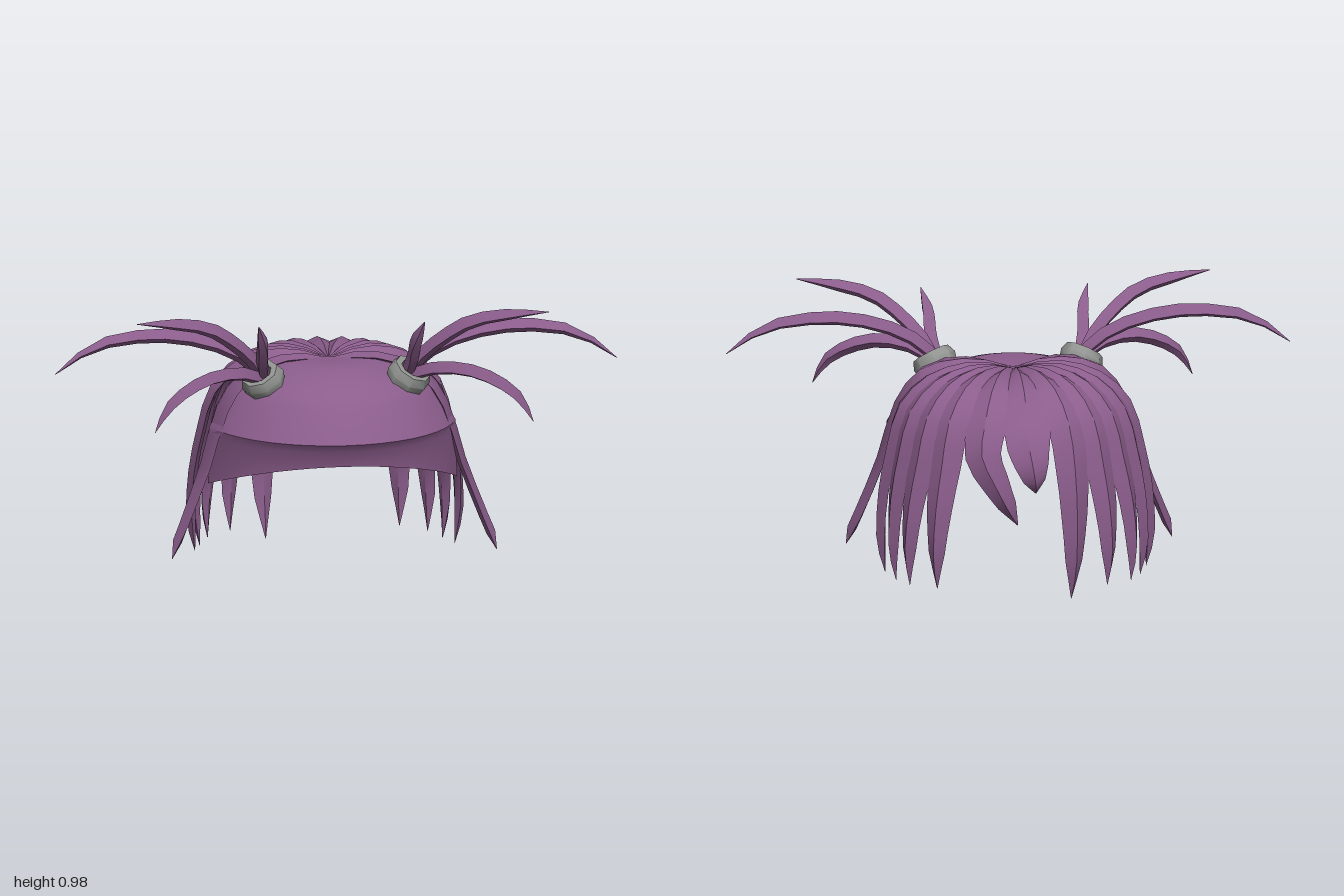
import * as THREE from 'three';
import { toCreasedNormals } from 'three/addons/utils/BufferGeometryUtils.js';

const V = (x, y, z) => new THREE.Vector3(x, y, z);

const hair = new THREE.MeshStandardMaterial({ color: 0x8b5d8c, side: THREE.DoubleSide });
hair.name = 'purpleHair';
const band = new THREE.MeshStandardMaterial({ color: 0x919490, side: THREE.DoubleSide });
band.name = 'greyBand';

// Rows of points joined into a surface; closed rows wrap around
function loft(rows, closed, crease, flip = false) {
  const n = rows[0].length, index = [];
  for (let i = 0; i < rows.length - 1; i++) {
    for (let j = 0; j < (closed ? n : n - 1); j++) {
      const k = (j + 1) % n;
      const a = i * n + j, b = i * n + k, c = b + n, d = a + n;
      if (flip) index.push(a, c, b, a, d, c);
      else index.push(a, b, c, a, c, d);
    }
  }
  const geo = new THREE.BufferGeometry();
  geo.setAttribute('position', new THREE.Float32BufferAttribute(rows.flat().flatMap(p => p.toArray()), 3));
  geo.setIndex(index);
  return toCreasedNormals(geo, crease);
}

// Linear lookup in a short list of widths
function lookup(list, t) {
  const f = t * (list.length - 1), i = Math.min(Math.floor(f), list.length - 2);
  return list[i] + (list[i + 1] - list[i]) * (f - i);
}

// Tapered ridged lock of hair along a path; its ridge points away from origin
function lock(name, points, widths, ridge, origin, segments) {
  const curve = new THREE.CatmullRomCurve3(points);
  const rows = [];
  for (let i = 0; i <= segments; i++) {
    const t = i / segments;
    const p = curve.getPoint(t), T = curve.getTangent(t).normalize();
    const O = p.clone().sub(origin);
    O.addScaledVector(T, -O.dot(T)).normalize();
    const W = T.clone().cross(O);
    const w = lookup(widths, t), h = ridge * Math.min(1, w / 0.025);
    rows.push([[-w, 0], [0, h], [w, 0], [0, -h * 0.5]].map(([a, b]) =>
      p.clone().addScaledVector(W, a).addScaledVector(O, b)));
  }
  const mesh = new THREE.Mesh(loft(rows, true, 0.55), hair);
  mesh.name = name;
  return mesh;
}

// Smooth front dome with a folded fringe edge and an inner lining
function fringe() {
  const dome = new THREE.SplineCurve([[0, 0.755], [0.25, 0.76], [0.45, 0.752], [0.75, 0.695], [0.89, 0.62], [1, 0.54]]
    .map(p => new THREE.Vector2(...p))).getPoints(14);
  const lining = [[0.9, 0.54], [0.82, 0.615], [0.7, 0.66], [0.45, 0.705], [0, 0.72]];
  const rows = [];
  for (let i = 0; i <= 18; i++) {
    const phi = THREE.MathUtils.degToRad(14 + 152 * i / 18);
    const c = Math.cos(phi), s = Math.sin(phi);
    const low = 0.297 + 0.158 * s, r = 1.04 - 0.12 * s;
    const profile = dome.map(p => [p.x, p.y]);
    profile.push([1.02 - 0.07 * s, 0.51], [r, low], [r - 0.06, low + 0.01], ...lining);
    rows.push(profile.map(([q, y]) => V(0.45 * q * c, y, 0.465 * q * s)));
  }
  const mesh = new THREE.Mesh(loft(rows, false, 0.6, true), hair);
  mesh.name = 'fringe';
  return mesh;
}

// Back lock: over the crown at a given angle, then down to its tip
function backLock(side, angle, tip, width = 0.065, bend = 0.49) {
  const a = THREE.MathUtils.degToRad(angle);
  const at = (r, y) => V(side * r * Math.cos(a), y, -r * Math.sin(a));
  const end = V(side * tip[0], tip[1], tip[2]);
  const shoulder = at(0.44, bend);
  const low = f => {
    const p = shoulder.clone().lerp(end, f);
    const bulge = 1 + 0.05 * Math.sin(Math.PI * f);
    return V(p.x * bulge, p.y, p.z * bulge);
  };
  const pts = [at(0.01, 0.745), at(0.17, 0.76), at(0.3, 0.725), at(0.395, 0.635), shoulder,
    low(0.35), low(0.7), end];
  return lock('backLock', pts, [0.008, 0.038, 0.066, width * 1.12, width, width * 0.8, width * 0.52, 0.001],
    0.022, V(0, 0.42, 0), 14);
}

export function createModel() {
  const model = new THREE.Group();
  model.name = 'hair';
  model.add(fringe());

  for (const s of [1, -1]) {
    // Long locks at the side and back
    model.add(
      backLock(s, 10, [0.46, 0.045, -0.09]),
      backLock(s, 24, [0.43, 0.04, -0.19]),
      backLock(s, 38, [0.39, 0.045, -0.285]),
      backLock(s, 52, [0.3, 0.05, -0.36]));

    // Broad lock beside the face
    model.add(lock('faceLock', [[0.01, 0.745, 0.01], [0.17, 0.755, 0.05], [0.31, 0.71, 0.09], [0.39, 0.6, 0.105],
      [0.45, 0.4, 0.12], [0.525, 0.2, 0.15], [0.575, 0.08, 0.17]].map(([x, y, z]) => V(s * x, y, z)),
      [0.01, 0.06, 0.085, 0.092, 0.08, 0.055, 0.001], 0.022, V(0, 0.45, 0.08), 12));

    // Hair tie
    const tail = new THREE.Group();
    tail.name = s > 0 ? 'leftPonytail' : 'rightPonytail';
    const profile = [[0.045, -0.028], [0.074, -0.028], [0.08, 0], [0.068, 0.03], [0.045, 0.03], [0.045, -0.028]]
      .map(p => new THREE.Vector2(...p));
    const tie = new THREE.Mesh(toCreasedNormals(new THREE.LatheGeometry(profile, 8), 0.85), band);
    tie.name = 'hairTie';
    tie.position.set(s * 0.26, 0.728, 0.205);
    tie.quaternion.setFromUnitVectors(V(0, 1, 0), V(s * 0.42, 0.83, 0.37).normalize());
    tail.add(tie);

    // Curving ponytail strands
    const strands = [
      [[0.25, 0.715, 0.2], [0.31, 0.785, 0.2], [0.42, 0.845, 0.2], [0.56, 0.88, 0.2], [0.7, 0.885, 0.2],
        [0.86, 0.855, 0.205], [0.995, 0.768, 0.21]],
      [[0.26, 0.715, 0.2], [0.3, 0.79, 0.23], [0.38, 0.872, 0.28], [0.47, 0.934, 0.32], [0.6, 0.966, 0.36],
        [0.73, 0.985, 0.4]],
      [[0.26, 0.715, 0.21], [0.33, 0.755, 0.27], [0.44, 0.765, 0.335], [0.54, 0.735, 0.38], [0.62, 0.68, 0.415],
        [0.67, 0.6, 0.432]],
      [[0.25, 0.715, 0.2], [0.27, 0.79, 0.26], [0.275, 0.86, 0.31], [0.295, 0.955, 0.367]],
    ];
    for (const path of strands) {
      tail.add(lock('ponytailStrand', path.map(([x, y, z]) => V(s * x, y, z)),
        [0.02, 0.024, 0.025, 0.025, 0.02, 0.001], 0.034, V(s * 0.5, 0.3, 0.25), 9));
    }
    model.add(tail);
  }

  // Uneven locks at the nape
  model.add(
    backLock(-1, 67, [0.17, 0.01, -0.39]),
    backLock(1, 71, [0.02, 0.285, -0.41], 0.065, 0.54),
    backLock(-1, 88, [0.04, 0.41, -0.45], 0.075, 0.57));
  return model;
}
